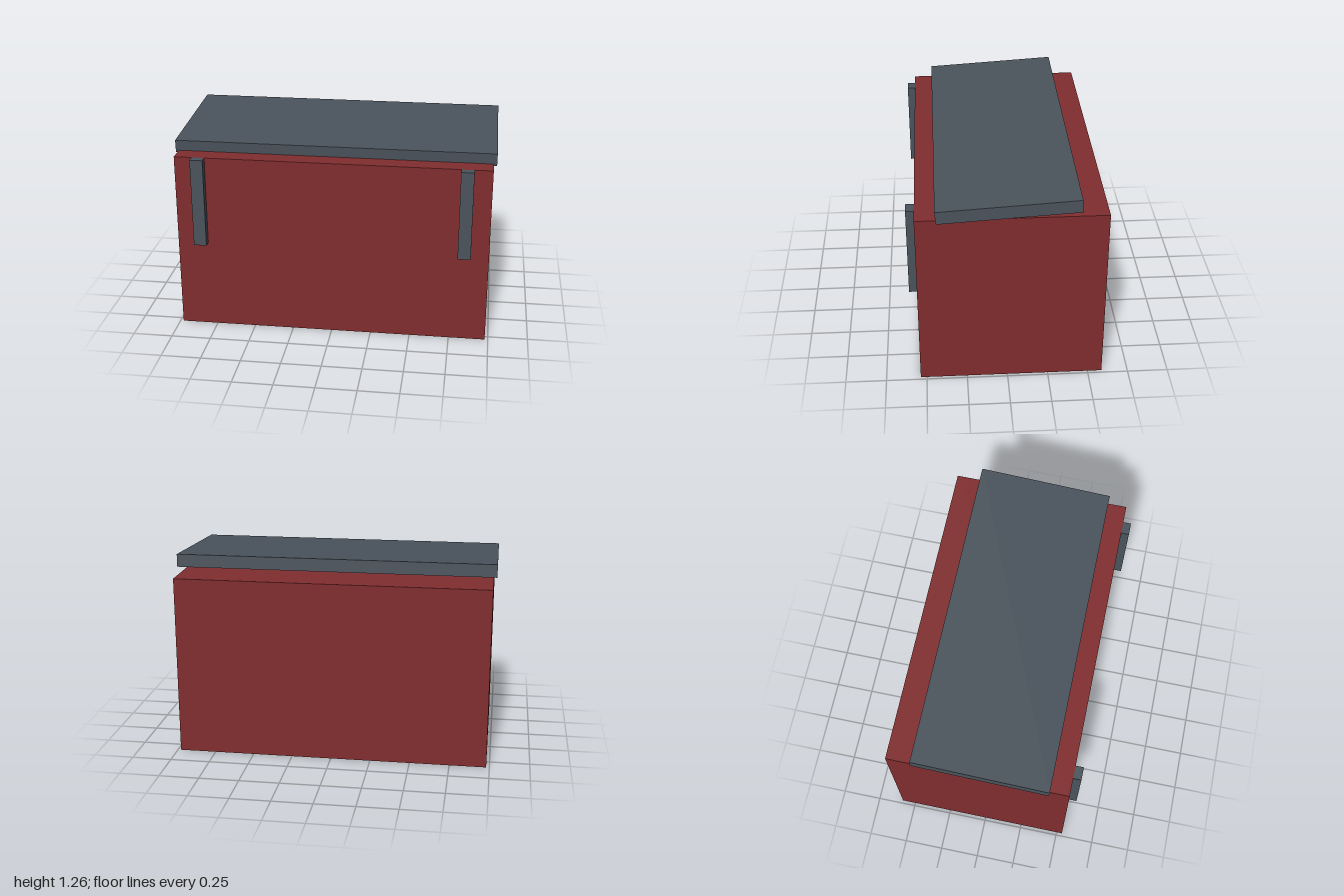
import * as THREE from 'three';

export function createModel() {
  const group = new THREE.Group();
  const red = new THREE.MeshStandardMaterial({ color: 0x812d2e });
  red.name = 'dark red';
  const slate = new THREE.MeshStandardMaterial({ color: 0x4a535c });
  slate.name = 'slate grey';

  const box = (name, material, [w, h, d], [x, y, z]) => {
    const mesh = new THREE.Mesh(new THREE.BoxGeometry(w, h, d), material);
    mesh.name = name;
    mesh.position.set(x, y, z);
    group.add(mesh);
    return mesh;
  };

  // Main body of the chest
  box('body', red, [1.96, 1.14, 1.126], [0, 0.57, -0.025]);

  // Lid, tipped down slightly towards the front
  const lid = box('lid', slate, [2, 0.08, 0.844], [0, 1.192, -0.004]);
  lid.rotation.x = 0.06;

  // Pair of straps on the upper half of the front
  for (const [side, name] of [[1, 'leftStrap'], [-1, 'rightStrap']]) {
    box(name, slate, [0.08, 0.568, 0.05], [side * 0.828, 0.856, 0.563]);
  }

  return group;
}
